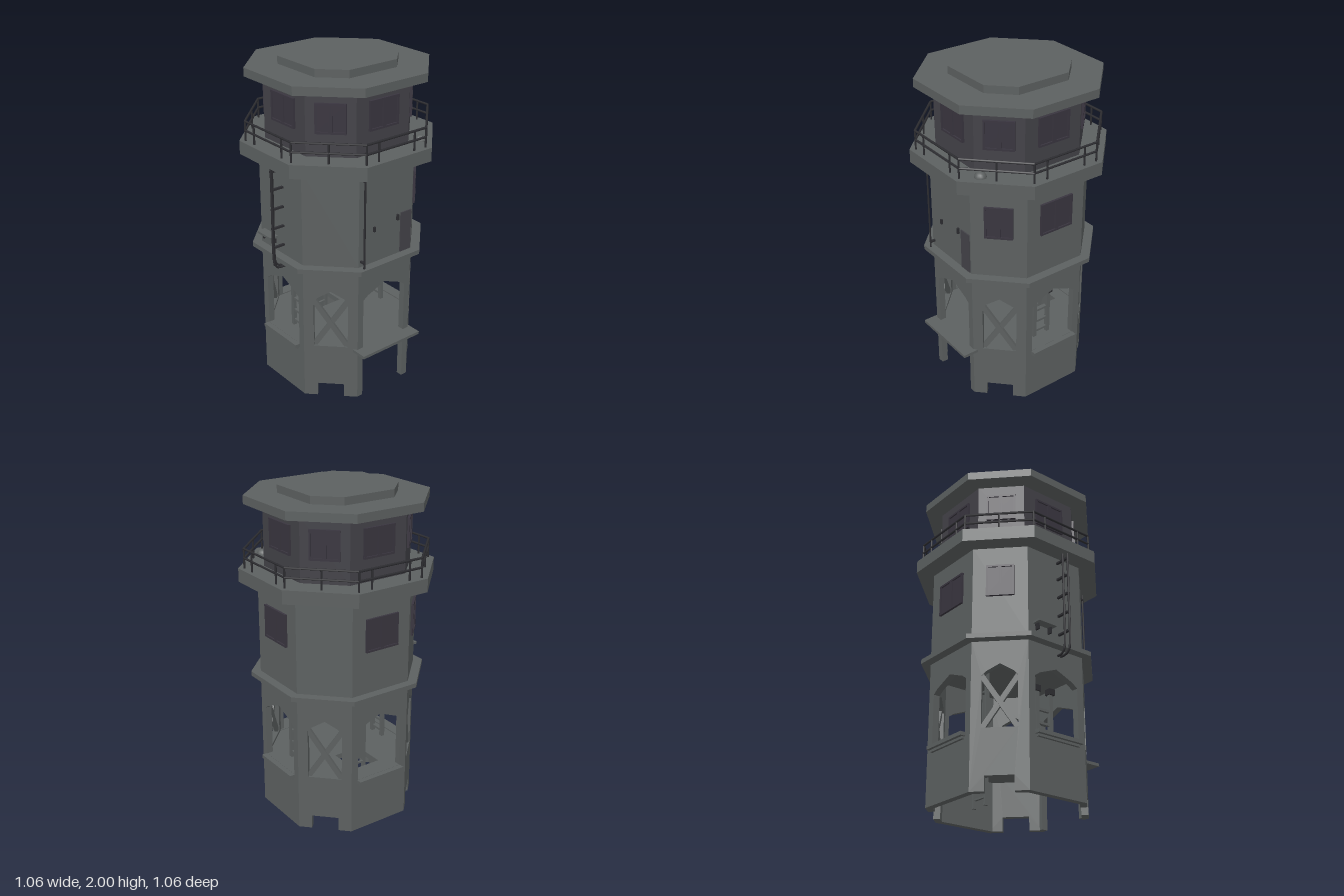
import * as THREE from 'three';

const mat = (name, color) => Object.assign(new THREE.MeshStandardMaterial({ color }), { name });
const M = {
  concrete: mat('concrete grey', 0x5c6060),
  cabin: mat('dark cabin grey', 0x434248),
  window: mat('window violet grey', 0x39353f),
  metal: mat('dark metal', 0x2d2d31),
};
M.concrete.side = THREE.DoubleSide;

function add(parent, name, geo, material, x = 0, y = 0, z = 0) {
  const m = new THREE.Mesh(geo, material);
  m.name = name;
  m.position.set(x, y, z);
  parent.add(m);
  return m;
}
const box = (p, name, material, w, h, d, x, y, z) =>
  add(p, name, new THREE.BoxGeometry(w, h, d), material, x, y, z);

// Round or square bar between two points
function bar(p, name, material, a, b, r, sides = 6) {
  const d = b.clone().sub(a);
  const m = add(p, name, new THREE.CylinderGeometry(r, r, d.length(), sides), material);
  m.position.copy(a).add(b).multiplyScalar(0.5);
  m.quaternion.setFromUnitVectors(new THREE.Vector3(0, 1, 0), d.normalize());
  return m;
}
const V = (x, y, z) => new THREE.Vector3(x, y, z);

// Octagon corners: a = distance to the main sides, h = half their width
const octPoints = (a, h) => [[h, a], [a, h], [a, -h], [h, -a], [-h, -a], [-a, -h], [-a, h], [-h, a]];
const poly = (pts) => new THREE.Shape(pts.map(([x, y]) => new THREE.Vector2(x, y)));

function prism(p, name, material, a, h, y0, y1, hole) {
  const s = poly(octPoints(a, h).reverse());
  if (hole) s.holes.push(poly(hole));
  const g = new THREE.ExtrudeGeometry(s, { depth: y1 - y0, bevelEnabled: false });
  g.rotateX(-Math.PI / 2);
  return add(p, name, g, material, 0, y0, 0);
}

// Group turned to side i (0 front, 2 left, 4 back, 6 right), its z = 0 on the wall surface
function sideGroup(p, name, a, h, i) {
  const turn = new THREE.Group();
  const diag = i % 2 === 1;
  const dist = diag ? (a + h) / Math.SQRT2 : a;
  turn.name = name;
  turn.rotation.y = i * Math.PI / 4;
  turn.position.set(Math.sin(turn.rotation.y) * dist, 0, Math.cos(turn.rotation.y) * dist);
  turn.userData.half = diag ? (a - h) / Math.SQRT2 : h;
  p.add(turn);
  return turn;
}

// Two-pane window: thin glass plate, frame and mullion
function windowUnit(p, half, y0, y1) {
  const H = y1 - y0, yc = (y0 + y1) / 2, t = 0.012;
  box(p, 'windowPane', M.window, half * 2, H, 0.008, 0, yc, 0.002);
  for (const x of [-half, -0.006, 0.006, half]) box(p, 'windowFrame', M.window, t, H + t, 0.016, x, yc, 0.005);
  for (const y of [y0, y1]) box(p, 'windowFrame', M.window, half * 2 + t, t, 0.018, 0, y, 0.005);
}

const gable = (w, y0, ys, yp) => [[-w, y0], [w, y0], [w, ys], [w * 0.78, ys + 0.025], [0, yp],
  [-w * 0.78, ys + 0.025], [-w, ys]];

export function createModel() {
  const root = new THREE.Group();
  root.name = 'watchtower';
  const A = 0.425, H = 0.2, T = 0.04;

  // Open lower storey: eight walls with gabled openings
  const lower = new THREE.Group();
  lower.name = 'lowerStorey';
  root.add(lower);
  for (let i = 0; i < 8; i++) {
    const g = sideGroup(lower, 'lowerWall', A, H, i), w = g.userData.half;
    let shape;
    if (i === 0) {
      // front wall is open down to the ground
      shape = poly([[-w, 0], [-0.16, 0], [-0.16, 0.655], [-0.125, 0.68], [0, 0.73], [0.125, 0.68],
        [0.16, 0.655], [0.16, 0], [w, 0], [w, 0.86], [-w, 0.86]]);
      box(g, 'frontLedge', M.concrete, 0.44, 0.018, 0.13, 0, 0.328, 0.015);
    } else if (i % 2 === 0) {
      shape = poly([[-w, 0], [w, 0], [w, 0.86], [-w, 0.86]]);
      shape.holes.push(poly(gable(0.155, 0.34, 0.655, 0.73)));
      box(g, 'sill', M.concrete, 0.32, 0.022, 0.06, 0, 0.328, 0.003);
      box(g, 'sillBracket', M.concrete, 0.3, 0.014, 0.03, 0, 0.31, 0);
    } else {
      shape = poly([[-w, 0], [-0.08, 0], [-0.08, 0.085], [0.08, 0.085], [0.08, 0], [w, 0], [w, 0.86], [-w, 0.86]]);
      shape.holes.push(poly(gable(0.1, 0.35, 0.65, 0.72)));
      // crossed braces
      for (const s of [-1, 1]) {
        const b = box(g, 'crossBrace', M.concrete, 0.03, 0.37, 0.022, 0, 0.5, -0.02 + s * 0.003);
        b.rotation.z = s * 0.58;
      }
    }
    const geo = new THREE.ExtrudeGeometry(shape, { depth: T, bevelEnabled: false });
    add(g, 'wallPanel', geo, M.concrete, 0, 0, -T);
  }
  prism(lower, 'floor', M.concrete, A - 0.02, H - 0.01, 0.3, 0.334,
    [[-0.09, 0.1], [0.09, 0.1], [0.09, 0.3], [-0.09, 0.3]]);

  // Inner ladder with back board
  const ladder = new THREE.Group();
  ladder.name = 'innerLadder';
  root.add(ladder);
  for (const s of [-1, 1]) box(ladder, 'ladderRail', M.concrete, 0.014, 0.86, 0.025, s * 0.052, 0.43, -0.2);
  for (let y = 0.05; y < 0.84; y += 0.062) box(ladder, 'ladderRung', M.concrete, 0.1, 0.011, 0.014, 0, y, -0.2);
  box(ladder, 'ladderBoard', M.concrete, 0.1, 0.3, 0.01, 0, 0.49, -0.22);

  // Paired posts with square caps at both sides
  for (const sx of [-1, 1]) {
    const stand = new THREE.Group();
    stand.name = 'postStand';
    root.add(stand);
    for (const sz of [-1, 1]) {
      box(stand, 'post', M.concrete, 0.022, 0.31, 0.024, sx * 0.31, 0.48, sz * 0.05);
      box(stand, 'postCap', M.metal, 0.04, 0.035, 0.04, sx * 0.31, 0.64, sz * 0.052);
    }
    for (const y of [0.37, 0.44, 0.52]) box(stand, 'crossRung', M.concrete, 0.016, 0.014, 0.1, sx * 0.31, y, 0);
  }

  // Solid stacked storeys and slabs
  prism(root, 'lowerSlab', M.concrete, 0.478, 0.222, 0.857, 0.885);
  prism(root, 'middleStorey', M.concrete, A, H, 0.885, 1.46);
  prism(root, 'balconySlab', M.concrete, 0.53, 0.235, 1.455, 1.535);
  prism(root, 'cabinWalls', M.cabin, 0.385, 0.19, 1.535, 1.91);
  prism(root, 'roofSlab', M.concrete, 0.49, 0.222, 1.905, 1.955);
  prism(root, 'roofCap', M.concrete, 0.3, 0.168, 1.955, 2.0);

  // Middle storey windows
  for (const i of [1, 2, 4, 5]) {
    windowUnit(sideGroup(root, 'middleWindow', A, H, i), i % 2 ? 0.075 : 0.105, 1.145, 1.33);
  }
  // Cabin windows and corner trims
  for (let i = 0; i < 8; i++) {
    windowUnit(sideGroup(root, 'cabinWindow', 0.385, 0.19, i), i % 2 ? 0.08 : 0.098, 1.675, 1.835);
  }

  // Front wall: door plate, handle, corner pipe
  const front = sideGroup(root, 'frontDetails', A, H, 0);
  box(front, 'serviceDoor', M.cabin, 0.08, 0.25, 0.008, 0.15, 1.015, 0.003);
  box(front, 'doorHandle', M.metal, 0.012, 0.035, 0.015, 0.085, 1.12, 0.006);
  box(front, 'switchBox', M.metal, 0.012, 0.03, 0.012, -0.09, 1.095, 0.005);
  bar(front, 'cornerPipe', M.metal, V(-0.183, 0.885, 0.03), V(-0.183, 1.455, 0.03), 0.006);
  for (const y of [0.92, 1.42]) box(front, 'pipeBracket', M.metal, 0.014, 0.012, 0.035, -0.183, y, 0.015);

  // Right wall: hooked twin pipe with clamps, small shelf
  const right = new THREE.Group();
  right.name = 'rightDetails';
  root.add(right);
  for (const [x, z] of [[-0.508, 0.035], [-0.488, 0.015]]) {
    const path = new THREE.CatmullRomCurve3([V(x, 1.455, z), V(x, 1.2, z), V(x, 0.9, z),
      V(x + 0.008, 0.84, z), V(x + 0.03, 0.82, z), V(-0.425, 0.818, z)]);
    add(right, 'pipe', new THREE.TubeGeometry(path, 24, 0.007, 6), M.metal);
  }
  for (const y of [0.95, 1.07, 1.19, 1.31, 1.42]) box(right, 'pipeClamp', M.metal, 0.085, 0.012, 0.014, -0.465, y, 0.025);
  box(right, 'shelf', M.concrete, 0.06, 0.014, 0.13, -0.45, 0.975, -0.1);
  for (const z of [-0.145, -0.055]) box(right, 'shelfBracket', M.metal, 0.03, 0.04, 0.01, -0.437, 0.95, z);

  // Balcony railing
  const rail = new THREE.Group();
  rail.name = 'railing';
  root.add(rail);
  const corners = octPoints(0.5, 0.215);
  corners.forEach(([x, z], i) => {
    const [nx, nz] = corners[(i + 1) % 8];
    for (const y of [1.595, 1.65]) bar(rail, 'handrail', M.metal, V(x, y, z), V(nx, y, nz), 0.007);
    for (const t of i % 2 ? [0, 0.2, 0.8] : [0, 0.5]) {
      const px = x + (nx - x) * t, pz = z + (nz - z) * t;
      bar(rail, 'railPost', M.metal, V(px, 1.535, pz), V(px, 1.652, pz), 0.006);
    }
  });

  // Small dome lamp on the balcony
  add(root, 'domeLamp', new THREE.SphereGeometry(0.035, 12, 6, 0, Math.PI * 2, 0, Math.PI / 2), M.concrete, 0.27, 1.533, 0.4);
  return root;
}
